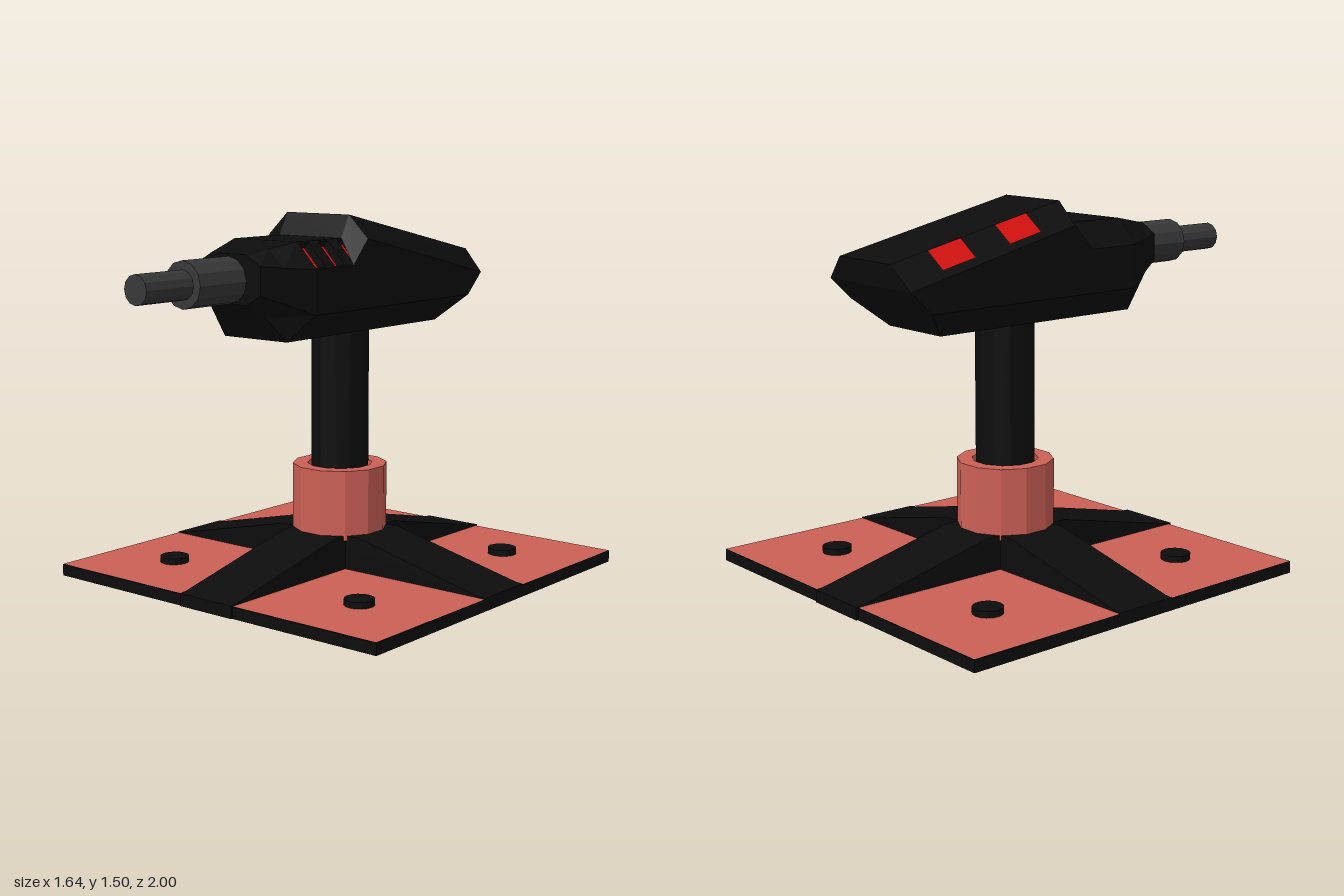
import * as THREE from 'three';

const mat = (color, extra = {}) => new THREE.MeshStandardMaterial({ color, flatShading: true, ...extra });

export function createModel() {
  const model = new THREE.Group();
  const black = mat(0x0d0d0d);
  const coral = mat(0xcc6056);
  const steel = mat(0x383838);
  const red = mat(0xd81010, { side: THREE.DoubleSide });
  const axisZ = -0.17; // centre of the stand

  function add(name, geometry, material, x = 0, y = 0, z = 0, parent = model) {
    const mesh = new THREE.Mesh(geometry, material);
    mesh.name = name;
    mesh.position.set(x, y, z);
    parent.add(mesh);
    return mesh;
  }

  // Base slab with coloured top panel
  add('baseSlab', new THREE.BoxGeometry(1.64, 0.048, 1.64), black, 0, 0.024, axisZ);
  add('basePanel', new THREE.PlaneGeometry(1.636, 1.636).rotateX(-Math.PI / 2), coral, 0, 0.0495, axisZ);

  // Crossed ribs sloping down from the hub
  const ribShape = new THREE.Shape([
    [-0.82, 0.002], [0.82, 0.002], [0.82, 0.053], [0.79, 0.055],
    [0.2, 0.19], [-0.2, 0.19], [-0.79, 0.055], [-0.82, 0.053],
  ].map(([x, y]) => new THREE.Vector2(x, y)));
  for (const [name, angle, stretch] of [['sideRib', 0, 1], ['lengthRib', Math.PI / 2, 1.012]]) {
    const rib = new THREE.ExtrudeGeometry(ribShape, { depth: 0.268, bevelEnabled: false });
    rib.translate(0, 0, -0.134).scale(stretch, 1, 1).rotateY(angle);
    add(name, rib, black, 0, 0, axisZ);
  }

  // Bolts in the four panels
  for (const x of [-0.49, 0.49]) {
    for (const z of [-0.66, 0.325]) {
      add('bolt', new THREE.CylinderGeometry(0.06, 0.06, 0.05, 16), black, x, 0.05, z);
    }
  }

  // Hollow collar and the post inside it
  const collar = [[0.197, 0.17], [0.197, 0.46], [0.135, 0.46], [0.135, 0.17]]
    .map(([r, y]) => new THREE.Vector2(r, y));
  add('collar', new THREE.LatheGeometry(collar, 12, Math.PI / 12), coral, 0, 0, axisZ + 0.005);
  add('post', new THREE.CylinderGeometry(0.12, 0.12, 0.9, 12), black, 0, 0.62, axisZ + 0.005);

  // Housing: octagonal rings front to back.
  // Each ring lists [x, y, z] for top, shoulder, lower shoulder and bottom of one half.
  const rings = [
    [[0.09, 1.37, 0.51], [0.16, 1.33, 0.51], [0.16, 1.22, 0.51], [0.09, 1.18, 0.51]],
    [[0.12, 1.387, 0.42], [0.2, 1.32, 0.42], [0.2, 1.185, 0.42], [0.12, 1.13, 0.44]],
    [[0.16, 1.41, 0.3], [0.255, 1.31, 0.3], [0.255, 1.135, 0.3], [0.16, 1.03, 0.36]],
    [[0.16, 1.41, 0.03], [0.255, 1.31, 0.07], [0.255, 1.135, 0.07], [0.16, 1.03, 0.07]],
    [[0.16, 1.5, -0.02], [0.255, 1.41, -0.02], [0.255, 1.135, -0.02], [0.16, 1.03, -0.02]],
    [[0.16, 1.32, -0.835], [0.255, 1.225, -0.815], [0.255, 1.135, -0.72], [0.16, 1.03, -0.61]],
  ];
  const positions = [];
  const indices = [];
  for (const [top, high, low, bottom] of rings) {
    const left = ([x, y, z]) => [-x, y, z];
    positions.push(...top, ...left(top), ...left(high), ...left(low), ...left(bottom), ...bottom, ...low, ...high);
  }
  for (let i = 0; i < rings.length - 1; i++) {
    for (let j = 0; j < 8; j++) {
      if (i === 2 && j === 7) continue; // opening for the vent plate
      const a0 = i * 8 + j, a1 = i * 8 + (j + 1) % 8;
      indices.push(a0, a1 + 8, a1, a0, a0 + 8, a1 + 8);
    }
  }
  const back = (rings.length - 1) * 8;
  for (const [a, b, c, d] of [[0, 1, 2, 7], [7, 2, 3, 6], [6, 3, 4, 5]]) {
    indices.push(a, b, c, a, c, d);
    indices.push(back + a, back + c, back + b, back + a, back + d, back + c);
  }
  const housing = new THREE.BufferGeometry();
  housing.setAttribute('position', new THREE.Float32BufferAttribute(positions, 3));
  housing.setIndex(indices);
  const housingFlat = housing.toNonIndexed();
  housingFlat.computeVertexNormals();
  add('housing', housingFlat, black);

  // Vent plate on the left chamfer: three slots over a red backing
  const rect = (Type, x0, x1, y0, y1) => new Type(
    [[x0, y0], [x1, y0], [x1, y1], [x0, y1]].map(([x, y]) => new THREE.Vector2(x, y)));
  const chamfer = Math.hypot(0.095, 0.1);
  const plate = rect(THREE.Shape, -0.02, 0.3, 0, chamfer);
  for (const z of [0, 0.12, 0.235]) {
    plate.holes.push(rect(THREE.Path, z, z + 0.06, 0.008, chamfer - 0.008));
  }
  const along = new THREE.Vector3(0, 0, 1);
  const down = new THREE.Vector3(0.095, -0.1, 0).normalize();
  const out = along.clone().cross(down);
  const vent = new THREE.Group();
  vent.name = 'sideVent';
  vent.quaternion.setFromRotationMatrix(new THREE.Matrix4().makeBasis(along, down, out));
  vent.position.set(0.16, 1.41, 0).addScaledVector(out, -0.035);
  model.add(vent);
  add('ventPlate', new THREE.ExtrudeGeometry(plate, { depth: 0.035, bevelEnabled: false }), black, 0, 0, 0, vent);
  add('ventBacking', new THREE.PlaneGeometry(0.3, chamfer - 0.004), red, 0.148, chamfer / 2, 0.003, vent);

  // Red patches lying on the right rear chamfer
  const onChamfer = (x, z) => [-x - 0.003, 1.504 + 0.222 * (z + 0.02) - 0.97 * (x - 0.16), z];
  for (const z of [-0.67, -0.35]) {
    const patch = new THREE.BufferGeometry();
    patch.setAttribute('position', new THREE.Float32BufferAttribute([
      ...onChamfer(0.162, z), ...onChamfer(0.235, z + 0.015),
      ...onChamfer(0.235, z + 0.17), ...onChamfer(0.162, z + 0.155),
    ], 3));
    patch.setIndex([0, 1, 2, 0, 2, 3]);
    patch.computeVertexNormals();
    add('sidePatch', patch, red);
  }

  // Stepped barrel
  for (const [name, radius, z0, z1] of [['barrelSleeve', 0.091, 0.48, 0.76], ['barrelTip', 0.057, 0.74, 1]]) {
    const tube = new THREE.CylinderGeometry(radius, radius, z1 - z0, 12).rotateX(Math.PI / 2);
    add(name, tube, steel, 0, 1.27, (z0 + z1) / 2);
  }

  return model;
}
